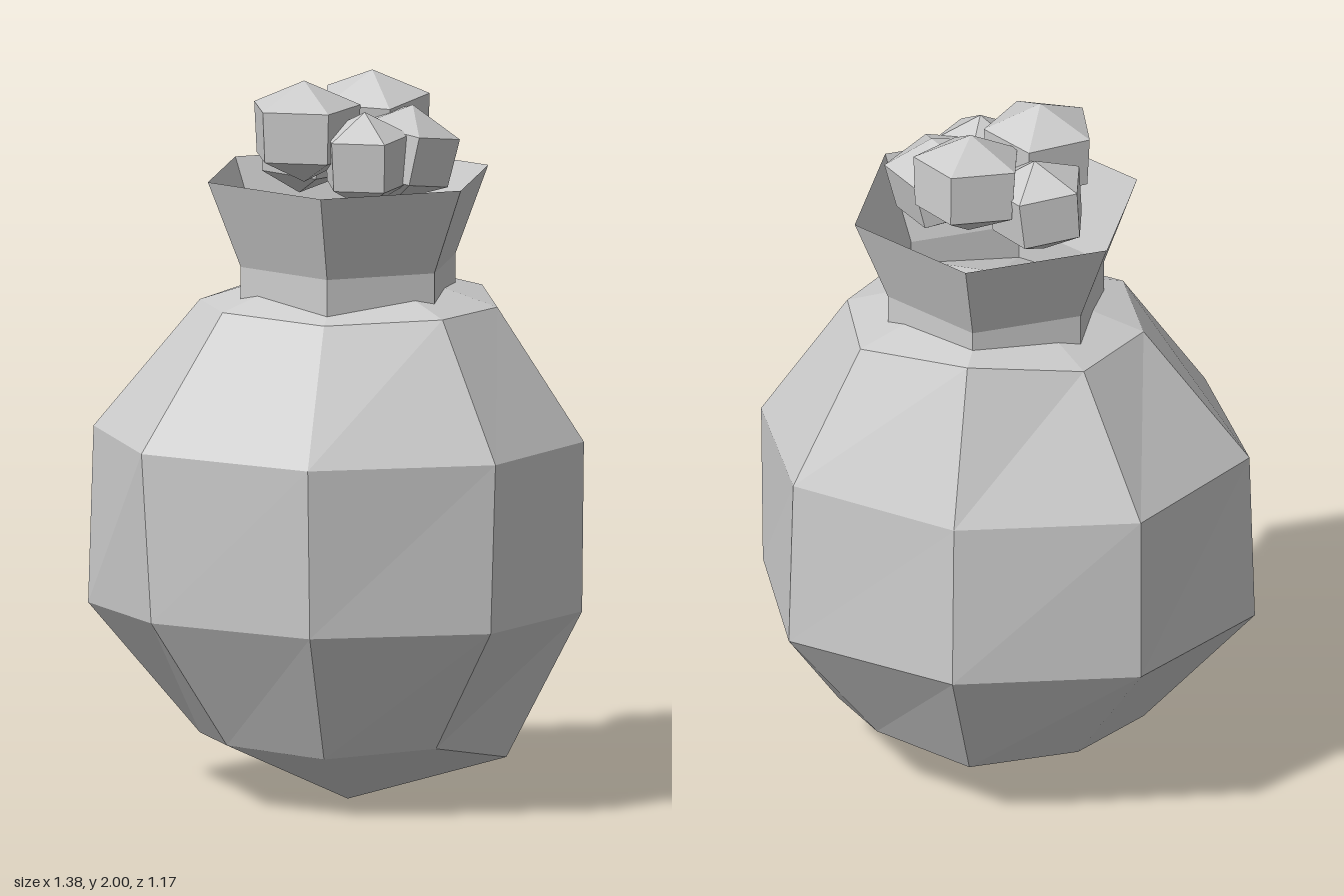
import * as THREE from 'three';

const stone = new THREE.MeshStandardMaterial({ color: 0xcccccc, flatShading: true, side: THREE.DoubleSide });
stone.name = 'pale grey';

const CX = 0.03; // vertical axis shared by sack and neck

// Eight-sided rings, bottom to top; corners run front, front-left, left ... as [x, y, z]
const RINGS = [
  [[0.03, 0.17, 0.35], [0.32, 0.19, 0.24], [0.47, 0.13, 0], [0.31, 0.18, -0.25],
    [0.03, 0.16, -0.36], [-0.25, 0.18, -0.25], [-0.38, 0.17, 0], [-0.26, 0.18, 0.24]],
  [[0.03, 0.54, 0.56], [0.5, 0.54, 0.39], [0.68, 0.54, 0], [0.52, 0.53, -0.42],
    [0.03, 0.54, -0.585], [-0.46, 0.53, -0.42], [-0.69, 0.52, 0], [-0.44, 0.54, 0.4]],
  [[0.03, 1.01, 0.59], [0.515, 1.01, 0.4], [0.685, 1.01, 0], [0.51, 1.01, -0.41],
    [0.03, 1.01, -0.565], [-0.46, 1.01, -0.42], [-0.675, 1.01, 0], [-0.465, 1.01, 0.41]],
  [[0.03, 1.37, 0.35], [0.34, 1.38, 0.25], [0.445, 1.375, 0], [0.35, 1.385, -0.28],
    [0.03, 1.42, -0.385], [-0.27, 1.38, -0.27], [-0.38, 1.37, 0], [-0.27, 1.38, 0.25]],
];

// Skin stacked rings and close both ends to a point
function skin(rings, bottom, top) {
  const n = rings[0].length, pos = [];
  const tri = (...corners) => corners.forEach(c => pos.push(...c));
  for (let i = 0; i < n; i++) {
    const j = (i + 1) % n;
    tri(bottom, rings[0][j], rings[0][i]);
    for (let r = 0; r < rings.length - 1; r++) {
      const a = rings[r], b = rings[r + 1];
      tri(a[i], a[j], b[j]);
      tri(a[i], b[j], b[i]);
    }
    const last = rings[rings.length - 1];
    tri(last[i], last[j], top);
  }
  const g = new THREE.BufferGeometry();
  g.setAttribute('position', new THREE.Float32BufferAttribute(pos, 3));
  g.computeVertexNormals();
  return g;
}

function lathe(points, sides) {
  const g = new THREE.LatheGeometry(points.map(p => new THREE.Vector2(...p)), sides).toNonIndexed();
  g.computeVertexNormals();
  return g;
}

export function createModel() {
  const model = new THREE.Group();
  const add = (name, geometry) => {
    const mesh = new THREE.Mesh(geometry, stone);
    mesh.name = name;
    model.add(mesh);
    return mesh;
  };

  // Bulging sack
  add('sackBody', skin(RINGS, [CX, 0, 0], [CX, 1.51, 0]));

  // Open hexagonal neck, flaring to the rim
  add('neck', lathe([[0.31, 1.38], [0.31, 1.49], [0.405, 1.73]], 6)).position.set(CX, 0, -0.005);

  // Five-sided nuggets: centre, ring radius, half height, turn, tilt about x and z
  const nuggets = [
    [-0.075, 1.86, 0.085, 0.155, 0.14, Math.PI, 0, 0],
    [0.075, 1.86, -0.14, 0.155, 0.14, 3.0, 0.12, 0],
    [0.18, 1.79, -0.02, 0.145, 0.135, 0.4, 0, -0.2],
    [0.1, 1.79, 0.115, 0.125, 0.135, Math.PI, 0.05, 0],
    [-0.11, 1.79, -0.1, 0.14, 0.135, 3.0, 0, 0.1],
  ];
  nuggets.forEach(([x, y, z, r, h, turn, tiltX, tiltZ], i) => {
    const profile = [[0, -h], [r * 0.95, -h / 2], [r, h / 2], [0, h]];
    const mesh = add('nugget' + (i + 1), lathe(profile, 5));
    mesh.position.set(x, y, z);
    mesh.rotation.set(tiltX, turn, tiltZ);
  });

  return model;
}
